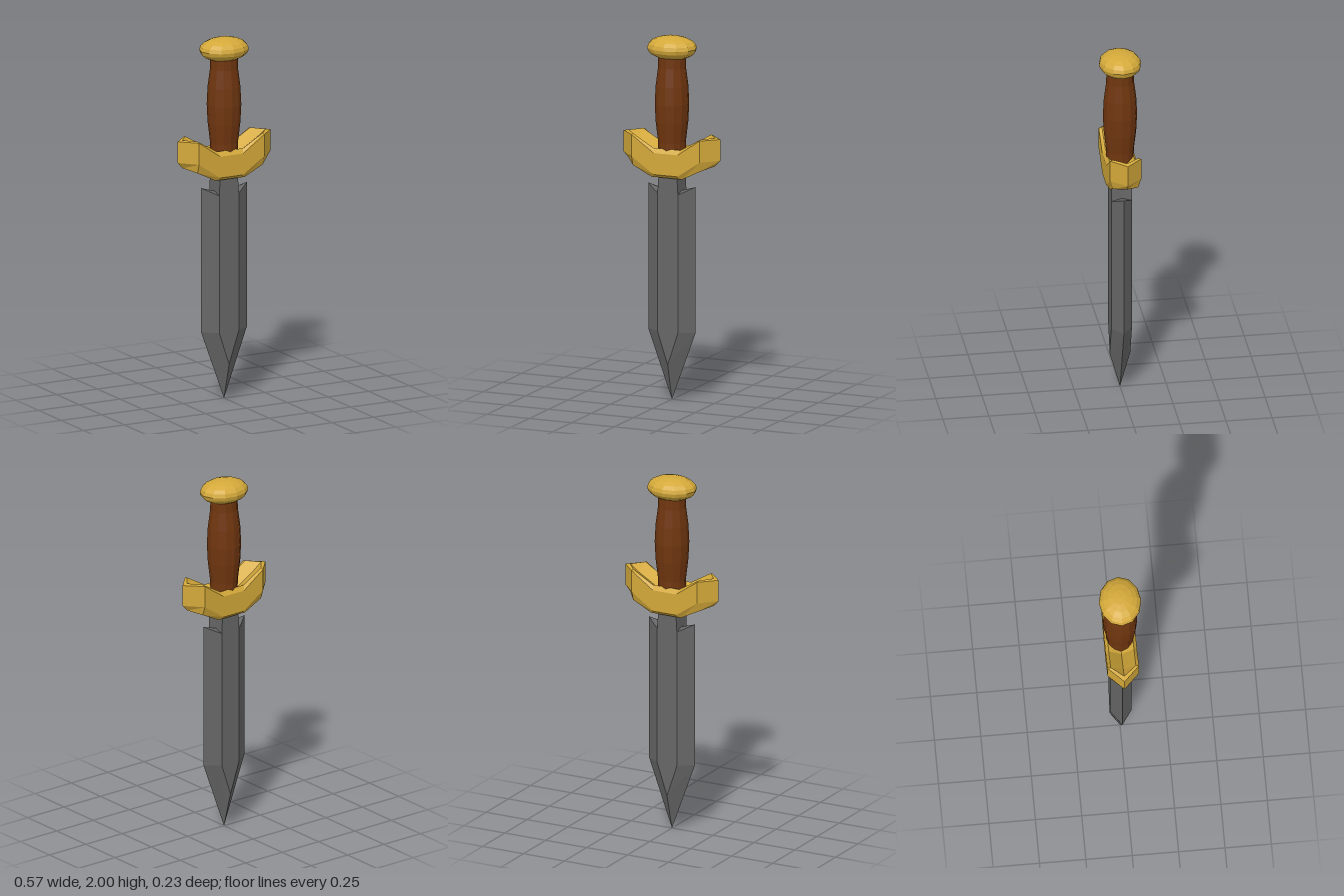
import * as THREE from 'three';

const gold = new THREE.MeshStandardMaterial({ name: 'gold', color: 0xd4a93a, flatShading: true });
const steel = new THREE.MeshStandardMaterial({ name: 'steel', color: 0x666666, flatShading: true });
const wood = new THREE.MeshStandardMaterial({ name: 'wood', color: 0x70360f, flatShading: true });

// Flat-sided geometry from polygons of three or four corners
function fromPolygons(polygons) {
  const pos = [];
  for (const p of polygons) {
    for (let i = 1; i < p.length - 1; i++) pos.push(...p[0], ...p[i], ...p[i + 1]);
  }
  const g = new THREE.BufferGeometry();
  g.setAttribute('position', new THREE.Float32BufferAttribute(pos, 3));
  g.computeVertexNormals();
  return g;
}

// Blade: one quadrant mirrored in x and z
function bladeGeometry() {
  const f = 0.056, w = 0.14, e = 0.06, n = 0.052;
  const quadrant = [
    [[0, 0.2, f], [e, 0.38, f], [e, 1.14, f], [0, 1.14, f]], // flat
    [[e, 0.38, f], [w, 0.38, 0], [w, 1.18, 0], [e, 1.14, f]], // bevelled edge
    [[0, 0.2, f], [0, 0, 0], [w, 0.38, 0], [e, 0.38, f]], // tip
    [[e, 1.14, f], [w, 1.18, 0], [0.058, 1.155, 0]], // shoulder
    [[0, 1.14, f], [e, 1.14, f], [n, 1.28, f], [0, 1.28, f]], // neck front
    [[e, 1.14, f], [0.058, 1.155, 0], [n, 1.28, 0], [n, 1.28, f]], // neck side
  ];
  const all = [];
  for (const sx of [1, -1]) for (const sz of [1, -1]) {
    for (const poly of quadrant) {
      const m = poly.map(([x, y, z]) => [x * sx, y, z * sz]);
      all.push(sx * sz < 0 ? m.reverse() : m);
    }
  }
  return fromPolygons(all);
}

// Guard: nine-point sections with a V channel on top, closing to a point at each end
function guardGeometry() {
  // each section: [x, y] of outer top, inner top, channel, outer bottom, inner bottom; then z scale
  const half = [
    { p: [[0.07, 1.365], [0.08, 1.39], [0.09, 1.355], [0.07, 1.247], [0.09, 1.23]], k: 1 },
    { p: [[0.2, 1.455], [0.2, 1.46], [0.2, 1.42], [0.2, 1.335], [0.2, 1.285]], k: 1 },
    { p: [[0.285, 1.455], [0.255, 1.46], [0.255, 1.46], [0.285, 1.338], [0.255, 1.305]], k: 0 },
  ];
  const section = ({ p: [ot, it, ch, ob, ib], k }, s) => [
    [ot, 0.085], [it, 0.068], [ch, 0], [it, -0.068], [ot, -0.085],
    [ob, -0.085], [ib, -0.068], [ib, 0.068], [ob, 0.085],
  ].map(([[x, y], z]) => [x * s, y, z * k]);
  const loops = [
    ...half.slice().reverse().map((h) => section(h, -1)),
    ...half.map((h) => section(h, 1)),
  ];
  const polys = [];
  for (let s = 0; s < loops.length - 1; s++) {
    const a = loops[s], b = loops[s + 1];
    for (let i = 0; i < a.length; i++) {
      const j = (i + 1) % a.length;
      polys.push([a[i], b[i], b[j], a[j]]);
    }
  }
  return fromPolygons(polys);
}

export function createModel() {
  const group = new THREE.Group();
  group.name = 'dagger';
  const add = (name, geometry, material) => {
    const mesh = new THREE.Mesh(geometry, material);
    mesh.name = name;
    group.add(mesh);
    return mesh;
  };

  add('blade', bladeGeometry(), steel);
  add('guard', guardGeometry(), gold);

  // Grip swelling in the middle
  const profile = [[0.074, 1.34], [0.075, 1.42], [0.088, 1.53], [0.093, 1.63], [0.088, 1.73], [0.075, 1.83], [0.074, 1.9]];
  add('grip', new THREE.LatheGeometry(profile.map(([r, y]) => new THREE.Vector2(r, y)), 12), wood);

  // Oval pommel
  const pommel = add('pommel', new THREE.SphereGeometry(1, 12, 10), gold);
  pommel.scale.set(0.14, 0.065, 0.114);
  pommel.position.y = 1.935;

  return group;
}
